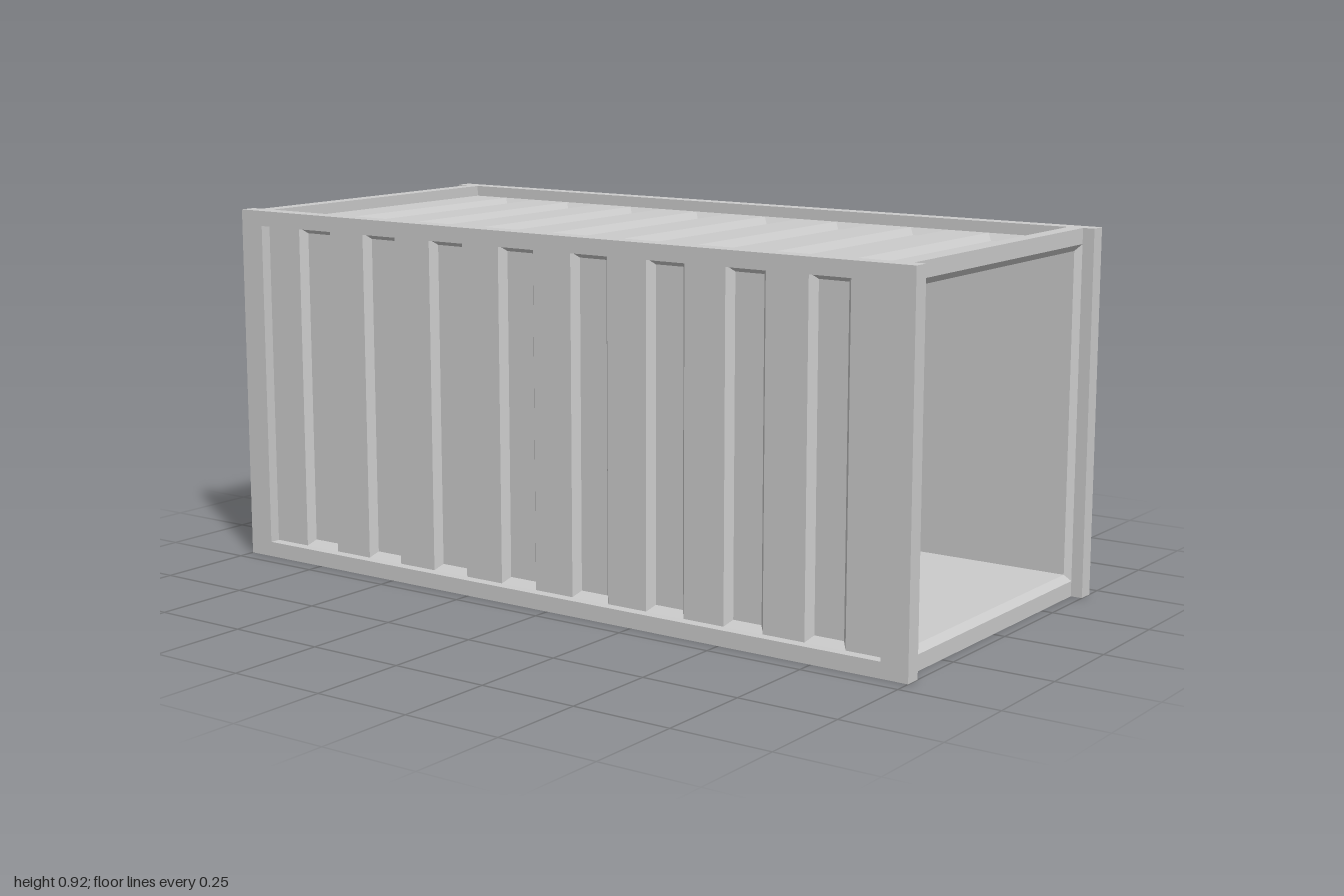
import * as THREE from 'three';

// Half sizes of the container
const X = 0.455, Y = 0.459, Z = 1;
const POST = 0.413;      // inner edge of the corner posts
const BAR = 0.97;        // end face of the cross bars
const WIN_Z = 0.93, WIN_Y = 0.42;
const IN_X = 0.4, IN_Y = 0.4035;
const PANEL = 0.028, FLOOR = 0.046, SLOPE = 0.015;  // recess depths, groove wall slope
const PITCH = 0.22, GROOVE = 0.054, COUNT = 8;

const material = new THREE.MeshStandardMaterial({
  color: 0xcccccc, flatShading: true, side: THREE.DoubleSide,
});

// Collects flat quads facing local +w, in local (u, v, w)
class Skin {
  points = [];
  quad(a, b, c, d) {
    this.points.push(...a, ...b, ...c, ...a, ...c, ...d);
  }
  // Rectangle given by centre and half size
  corners(cu, [hu, hv], w) {
    return [[-1, -1], [1, -1], [1, 1], [-1, 1]].map(([s, t]) => [cu + s * hu, t * hv, w]);
  }
  rect(cu, half, w) {
    this.quad(...this.corners(cu, half, w));
  }
  // Band joining an outer rectangle to an inner one; sides picks its edges
  ring(outer, w0, inner, w1, cu = 0, sides = [0, 1, 2, 3]) {
    const a = this.corners(cu, outer, w0), b = this.corners(cu, inner, w1);
    for (const i of sides) {
      const j = (i + 1) % 4;
      const gap = Math.abs(outer[(i + 1) % 2] - inner[(i + 1) % 2]) + Math.abs(w0 - w1);
      if (gap > 1e-6) this.quad(a[i], a[j], b[j], b[i]);
    }
  }
  mesh(name, u, v, w) {
    const geometry = new THREE.BufferGeometry();
    geometry.setAttribute('position', new THREE.Float32BufferAttribute(this.points, 3));
    geometry.applyMatrix4(new THREE.Matrix4().makeBasis(u, v, w));
    geometry.translate(0, Y, 0);
    geometry.computeVertexNormals();
    const mesh = new THREE.Mesh(geometry, material);
    mesh.name = name;
    return mesh;
  }
}

// Recessed panel with a row of bevelled grooves along u
function addCorrugation(skin, halfV, face) {
  const panel = face - PANEL, floor = face - FLOOR;
  skin.ring([WIN_Z, halfV], face, [WIN_Z, halfV], panel);
  let start = -WIN_Z;
  for (let i = 0; i <= COUNT; i++) {
    const centre = (i - (COUNT - 1) / 2) * PITCH;
    const end = i < COUNT ? centre - GROOVE : WIN_Z;
    skin.rect((start + end) / 2, [(end - start) / 2, halfV], panel);
    if (i === COUNT) break;
    const inner = [GROOVE - SLOPE, halfV - SLOPE];
    skin.ring([GROOVE, halfV], panel, inner, floor, centre);
    skin.rect(centre, inner, floor);
    start = centre + GROOVE;
  }
}

// Side wall: full frame around the corrugated panel
function sideWall() {
  const skin = new Skin();
  skin.ring([Z, Y], X, [WIN_Z, WIN_Y], X);
  addCorrugation(skin, WIN_Y, X);
  return skin;
}

// Roof or underside: side rails, cross bars and the corrugated panel
function deck() {
  const skin = new Skin();
  skin.ring([Z, X], Y, [Z, POST], Y);
  skin.ring([BAR, POST], Y, [WIN_Z, POST], Y);
  addCorrugation(skin, POST, Y);
  return skin;
}

// Open end: posts, cross bars, bevelled lip
function openEnd() {
  const skin = new Skin();
  skin.ring([X, Y], Z, [POST, Y], Z);
  skin.ring([POST, Y], Z, [POST, Y], BAR, 0, [1, 3]);
  skin.ring([POST, Y], BAR, [POST, WIN_Y], BAR);
  skin.ring([POST, WIN_Y], BAR, [IN_X, IN_Y], BAR - SLOPE);
  return skin;
}

// Smooth inner walls, floor and ceiling
function lining() {
  const skin = new Skin();
  skin.ring([IN_X, IN_Y], BAR - SLOPE, [IN_X, IN_Y], SLOPE - BAR);
  return skin;
}

export function createModel() {
  const group = new THREE.Group();
  group.name = 'shippingContainer';
  const axis = (x, y, z) => new THREE.Vector3(x, y, z);
  const x = axis(1, 0, 0), y = axis(0, 1, 0), z = axis(0, 0, 1);
  const nx = axis(-1, 0, 0), ny = axis(0, -1, 0), nz = axis(0, 0, -1);
  group.add(
    sideWall().mesh('leftWall', nz, y, x),
    sideWall().mesh('rightWall', z, y, nx),
    deck().mesh('roof', z, x, y),
    deck().mesh('underside', nz, x, ny),
    openEnd().mesh('frontFrame', x, y, z),
    openEnd().mesh('backFrame', nx, y, nz),
    lining().mesh('innerLining', x, y, z),
  );
  return group;
}
